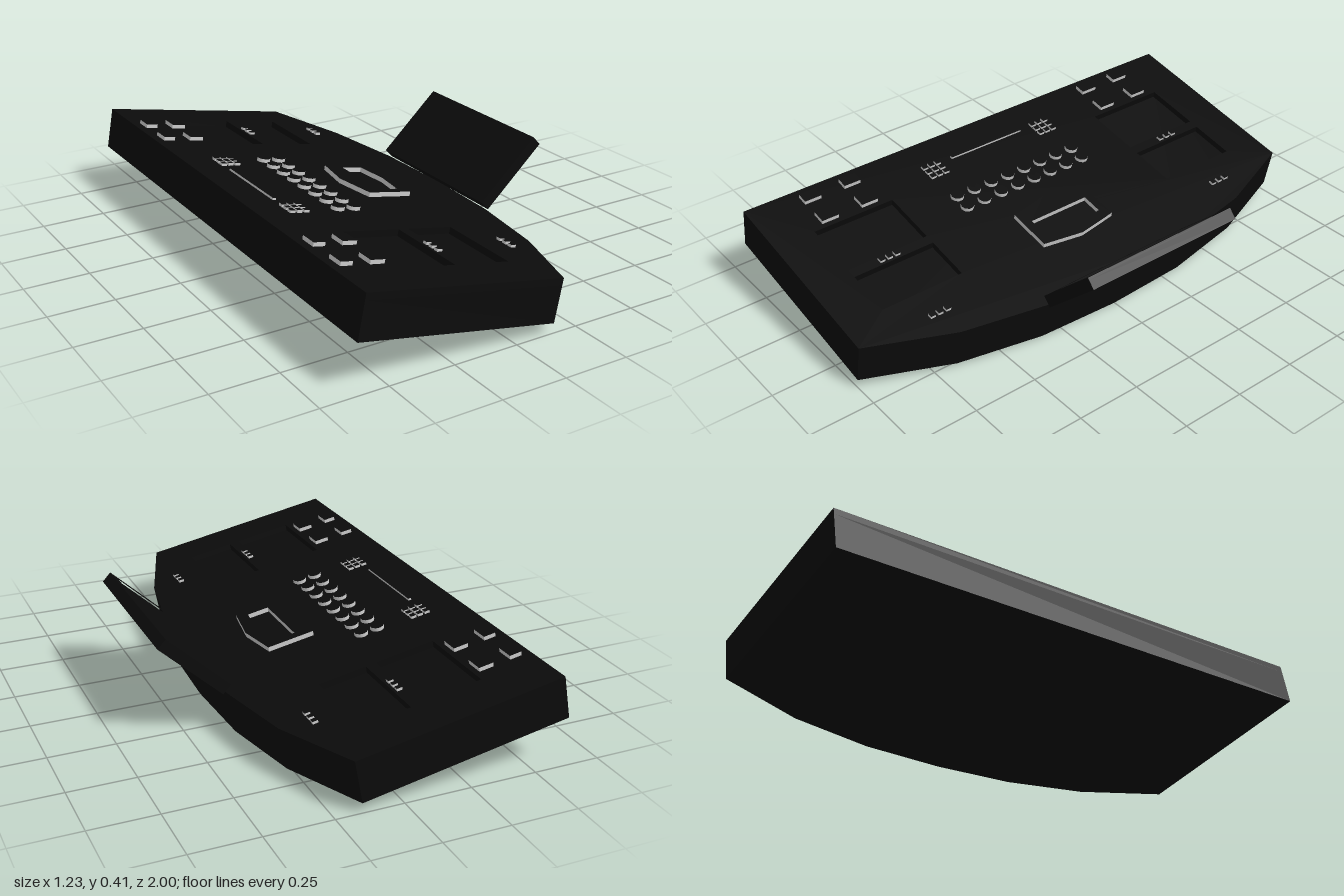
import * as THREE from 'three';

const dark = new THREE.MeshStandardMaterial({ color: 0x0b0b0b });
const light = new THREE.MeshStandardMaterial({ color: 0xcccccc });
const TILT = Math.atan(0.193);
const EDGE = -0.585; // x of the high edge of the desk surface

// distance along the sloping surface for a plan position x
const along = x => (x - EDGE) / Math.cos(TILT);

// points are [u, z]; the plate is extruded upwards from y = bottom
function plate(name, outline, holes, bottom, height, material) {
  const path = pts => pts.map(([u, z]) => new THREE.Vector2(u, -z));
  const shape = new THREE.Shape(path(outline));
  for (const h of holes) shape.holes.push(new THREE.Path(path(h)));
  const geo = new THREE.ExtrudeGeometry(shape, { depth: height, bevelEnabled: false });
  geo.rotateX(-Math.PI / 2);
  const mesh = new THREE.Mesh(geo, material);
  mesh.name = name;
  mesh.position.y = bottom;
  return mesh;
}

const rect = (u0, u1, z0, z1) => [[u0, z0], [u1, z0], [u1, z1], [u0, z1]];

// box key with light sides and a dark cap, given by its plan extents
function key(name, x0, x1, z, depth, height) {
  const geo = new THREE.BoxGeometry(along(x1) - along(x0), height, depth);
  const mesh = new THREE.Mesh(geo, [light, light, dark, dark, light, light]);
  mesh.name = name;
  mesh.position.set((along(x0) + along(x1)) / 2, height / 2, z);
  return mesh;
}

function createDesk() {
  const desk = new THREE.Group();
  desk.name = 'desk';

  // slab with a bowed far edge and four sunken display wells
  const bow = [[0.185, 1], [0.305, 0.667], [0.363, 0.333], [0.377, 0],
    [0.363, -0.333], [0.305, -0.667], [0.185, -1]];
  const outline = [[0, -1], [0, 1], ...bow.map(([x, z]) => [along(x), z])];
  const wells = [];
  for (const s of [-1, 1]) {
    for (const [x0, x1] of [[-0.365, -0.14], [-0.1, 0.08]]) {
      wells.push(rect(along(x0), along(x1), s * 0.5, s * 0.835));
    }
  }
  desk.add(plate('deskBase', outline, [], -0.163, 0.138, dark));
  desk.add(plate('deskTop', outline, wells, -0.025, 0.025, dark));

  for (const s of [-1, 1]) {
    // square buttons near the outer ends
    for (const z of [0.585, 0.755]) {
      desk.add(key('squareButton', -0.55, -0.505, s * z, 0.07, 0.015));
      desk.add(key('squareButton', -0.44, -0.385, s * z, 0.07, 0.015));
    }
    // triple keys below each display well
    for (const z of [0.645, 0.677, 0.709]) {
      desk.add(key('smallKey', -0.13, -0.11, s * z, 0.02, 0.01));
      desk.add(key('smallKey', 0.183, 0.203, s * z, 0.02, 0.01));
    }
    // three by three keypads
    for (const x of [-0.46, -0.432, -0.404]) {
      for (const z of [0.235, 0.265, 0.295]) {
        desk.add(key('keypadKey', x, x + 0.02, s * z, 0.022, 0.01));
      }
    }
  }

  // long strip between the keypads
  desk.add(key('centreStrip', -0.455, -0.443, 0, 0.34, 0.008));

  // two rows of round buttons
  const round = new THREE.CylinderGeometry(0.026, 0.026, 0.014, 10);
  for (const x of [-0.255, -0.19]) {
    for (let i = 0; i < 8; i++) {
      const button = new THREE.Mesh(round, [light, dark, dark]);
      button.name = 'roundButton';
      button.position.set(along(x), 0.007, (i - 3.5) * 0.08);
      desk.add(button);
    }
  }

  // raised six-sided console with a sunken middle
  const toSurface = pts => pts.map(([x, z]) => [along(x), z]);
  const hex = toSurface([[-0.08, 0], [-0.05, 0.165], [0.13, 0.165],
    [0.155, 0], [0.13, -0.165], [-0.05, -0.165]]);
  const well = toSurface([[0.01, 0.13], [0.093, 0.13], [0.11, 0], [0.093, -0.13], [0.01, -0.13]]);
  desk.add(plate('centreConsole', hex, [well], 0, 0.018, [dark, light]));

  desk.position.set(EDGE, 0.35, 0);
  desk.rotation.z = -TILT;
  return desk;
}

function createScreen() {
  const screen = new THREE.Group();
  screen.name = 'screen';
  const outer = rect(-0.16, 0.16, -0.333, 0.333);
  const opening = rect(-0.132, 0.132, -0.302, 0.302);
  const inner = rect(-0.128, 0.128, -0.298, 0.298);
  screen.add(plate('screenBack', outer, [], -0.0225, 0.036, dark));
  screen.add(plate('screenFrame', outer, [opening], 0.0135, 0.009, dark));
  screen.add(plate('screenTrim', opening, [inner], 0.0135, 0.009, [dark, light]));
  screen.position.set(0.4775, 0.289, 0);
  screen.rotation.z = 0.747;
  return screen;
}

export function createModel() {
  const model = new THREE.Group();
  model.name = 'controlConsole';
  model.add(createDesk(), createScreen());
  return model;
}
